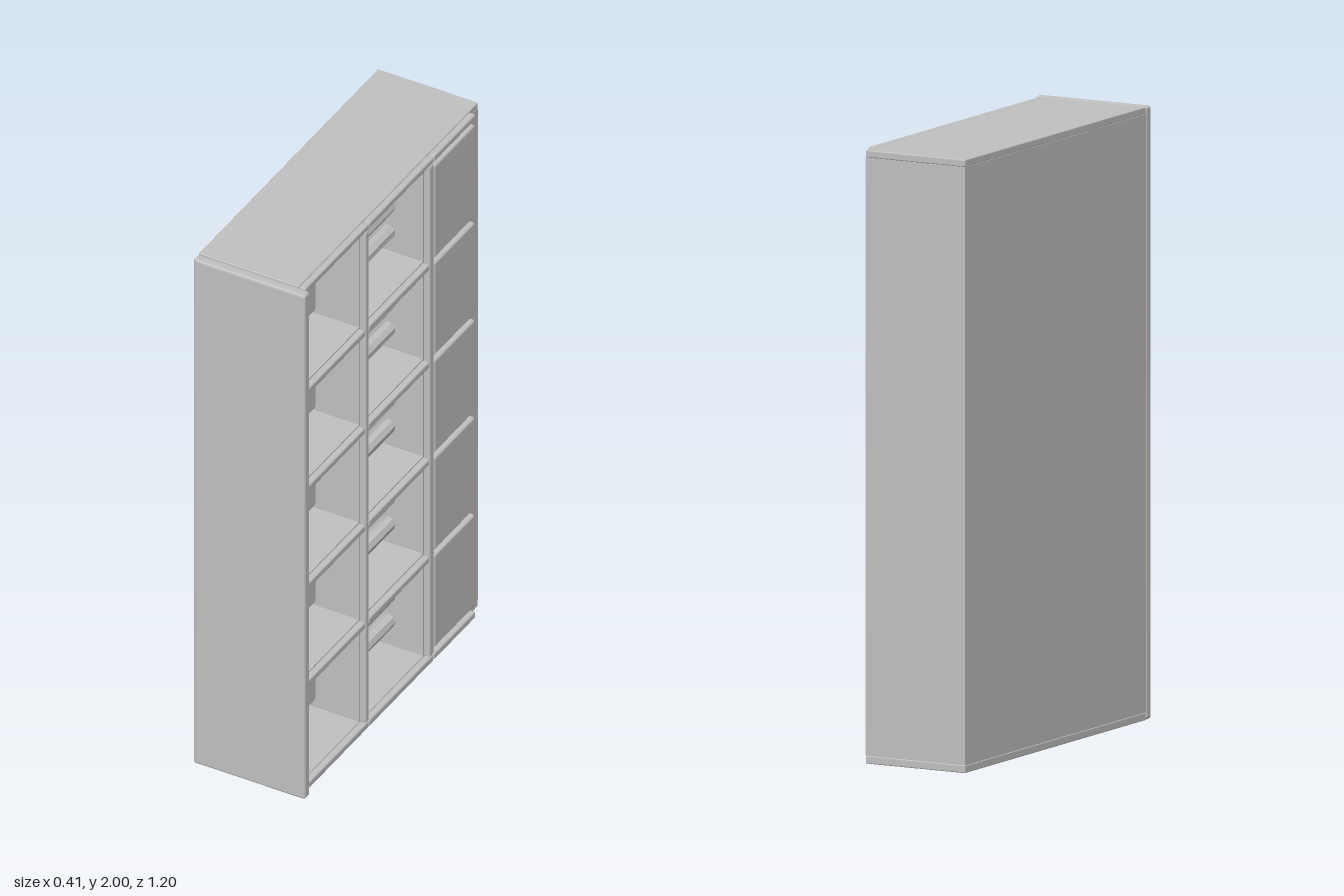
import * as THREE from 'three';
import { RoundedBoxGeometry } from 'three/addons/geometries/RoundedBoxGeometry.js';

const grey = new THREE.MeshStandardMaterial({ color: 0xc0c0c0 });
grey.name = 'plain grey';

export function createModel() {
  const model = new THREE.Group();
  model.name = 'shelfUnit';

  // Box given by its limits on each axis, with optional rounded edges
  function slab(name, [x0, x1], [y0, y1], [z0, z1], radius = 0) {
    const size = [x1 - x0, y1 - y0, z1 - z0];
    const geometry = radius
      ? new RoundedBoxGeometry(...size, 2, radius)
      : new THREE.BoxGeometry(...size);
    const mesh = new THREE.Mesh(geometry, grey);
    mesh.name = name;
    mesh.position.set((x0 + x1) / 2, (y0 + y1) / 2, (z0 + z1) / 2);
    model.add(mesh);
    return mesh;
  }

  const back = -0.207, face = 0.163, lip = 0.188;
  const body = [back, face], trim = [face, lip];
  const pitch = 0.3865;

  // Carcass
  slab('endPanel', [back, 0.207], [0, 2], [0.563, 0.6], 0.01);
  slab('topBoard', body, [1.976, 2], [-0.6, 0.562], 0.004);
  slab('bottomBoard', body, [0, 0.026], [-0.6, 0.562], 0.004);
  slab('backPanel', [back, back + 0.02], [0.026, 1.976], [-0.6, 0.562]);
  slab('thickSide', [back + 0.02, face], [0.026, 1.976], [-0.6, -0.542]);

  // Upright dividers with their front trims
  for (const [z0, z1] of [[0.149, 0.171], [-0.271, -0.244]]) {
    slab('divider', [back + 0.02, face], [0.026, 1.976], [z0, z1]);
    slab('dividerTrim', trim, [0.028, 1.974], [z0, z1], 0.006);
  }

  // Trims along the top and bottom boards
  for (const [z0, z1] of [[0.15, 0.562], [-0.27, 0.148], [-0.541, -0.272]]) {
    slab('topTrim', trim, [1.976, 2], [z0, z1], 0.006);
    slab('bottomTrim', trim, [0, 0.026], [z0, z1], 0.006);
  }

  // Shelves between the compartments
  for (let i = 1; i < 5; i++) {
    const y = [0.02 + i * pitch, 0.045 + i * pitch];
    slab('shelf', [back + 0.02, face], y, [-0.542, 0.562]);
    slab('shelfTrim', trim, y, [0.171, 0.562], 0.006);
    slab('shelfTrim', trim, y, [-0.244, 0.149], 0.006);
  }

  // Bottle outline: base, body, shoulder, neck
  const outline = [[0, 0], [0.026, 0], [0.026, 0.19], [0.013, 0.236], [0.013, 0.3], [0, 0.3]]
    .map(([r, h]) => new THREE.Vector2(r, h));
  const bottleGeometry = new THREE.LatheGeometry(outline, 8).toNonIndexed();
  bottleGeometry.rotateX(Math.PI / 2);
  bottleGeometry.computeVertexNormals();

  // Contents and door of each row
  for (let i = 0; i < 5; i++) {
    const y = i * pitch;
    slab('storageBox', [back + 0.02, 0.012], [y + 0.062, y + 0.399], [0.175, 0.489], 0.018);
    slab('door', trim, [y + 0.047, y + 0.414], [-0.539, -0.274], 0.009);
    for (let j = 0; j < 3; j++) {
      const bottle = new THREE.Mesh(bottleGeometry, grey);
      bottle.name = 'bottle';
      bottle.position.set(0.035, y + 0.123 + j * 0.101, -0.25);
      bottle.rotation.z = (i * 3 + j) * 0.3;
      model.add(bottle);
    }
  }
  return model;
}
